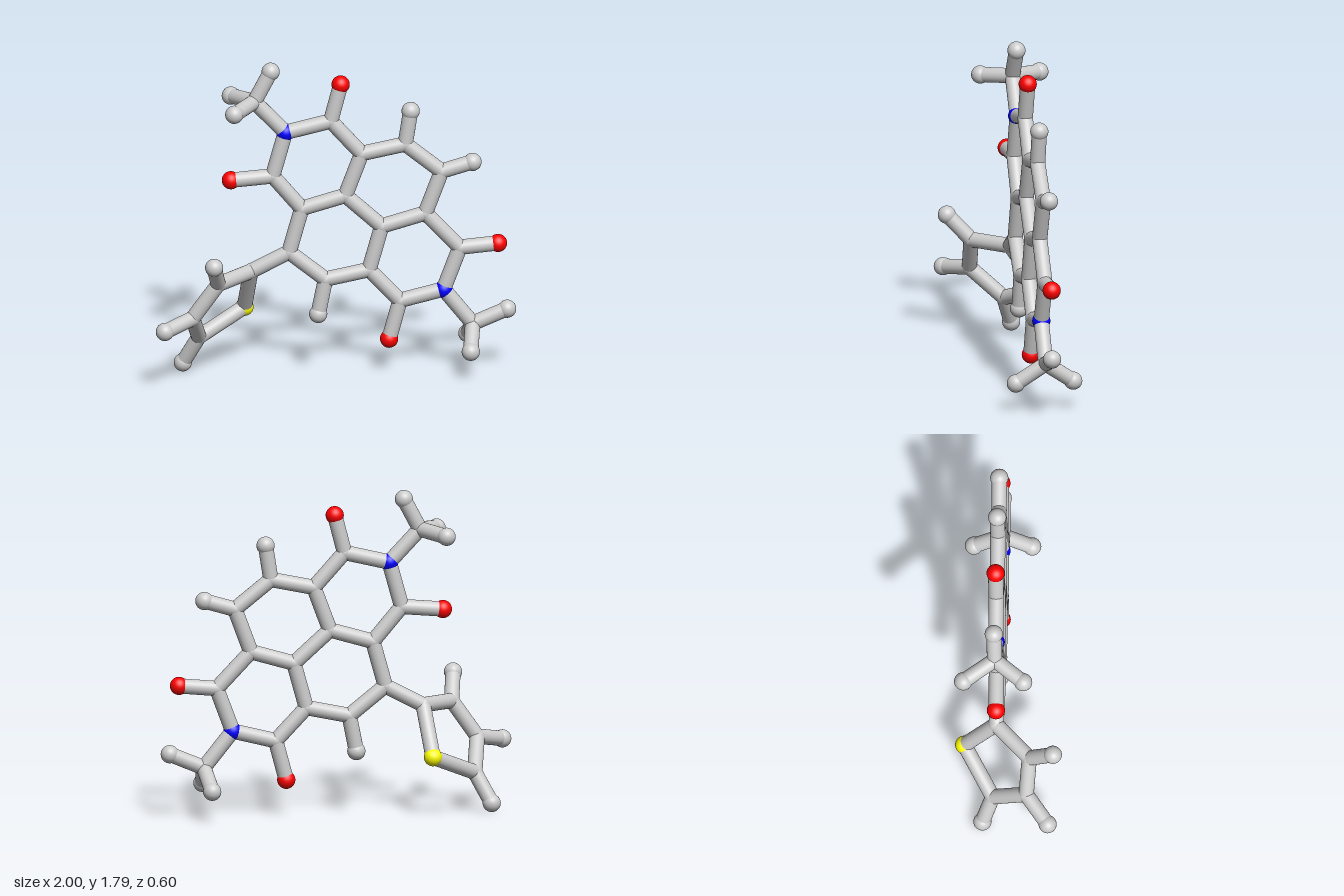
import * as THREE from 'three';

const BALL = 0.05, ROD = 0.042;

// depth of the gently tilted flat core
const core = (x, y) => [x, y, -0.047 - 0.02 * y];

// atoms: kind is c (carbon), h (hydrogen), n, o or s
const atoms = {
  // fused ring core
  c1: core(0.15, 1.27), c2: core(0.39, 1.32), c3: core(0.59, 1.16), c4: core(0.50, 0.92),
  c5: core(0.26, 0.85), c6: core(0.06, 1.03), c7: core(-0.18, 0.96), c8: core(-0.25, 0.71),
  c9: core(-0.05, 0.55), c10: core(0.19, 0.60),
  h2: core(0.42, 1.51), h3: core(0.76, 1.21), h9: core(-0.09, 0.35),
  // upper imide ring and methyl
  c11: core(-0.02, 1.46), o11: core(0.035, 1.67), c12: core(-0.34, 1.15), o12: core(-0.57, 1.13),
  n1: core(-0.27, 1.40), c13: core(-0.44, 1.58),
  h13a: [-0.35, 1.75, -0.085], h13b: [-0.56, 1.56, 0.08], h13c: [-0.56, 1.56, -0.25],
  // lower imide ring and methyl
  c14: core(0.69, 0.72), o14: core(0.90, 0.74), c15: core(0.36, 0.42), o15: core(0.30, 0.20),
  n2: core(0.60, 0.48), c16: core(0.76, 0.28),
  h16a: [0.95, 0.36, -0.055], h16b: [0.74, 0.17, 0.11], h16c: [0.74, 0.17, -0.21],
  // twisted five-sided side ring
  c17: [-0.46, 0.60, -0.07], c18: [-0.65, 0.59, 0.115], c19: [-0.79, 0.39, 0.10],
  c20: [-0.745, 0.22, -0.085], s1: [-0.485, 0.335, -0.245],
  h18: [-0.68, 0.73, 0.245], h19: [-0.95, 0.355, 0.22], h20: [-0.83, 0.055, -0.14],
};

// each chain is a run of atoms joined by rods
const chains = {
  coreRod: ['c1 c2 c3 c4 c5 c6 c1', 'c6 c7 c8 c9 c10 c5', 'c2 h2', 'c3 h3', 'c9 h9'],
  upperImideRod: ['c1 c11 n1 c12 c7', 'c11 o11', 'c12 o12'],
  lowerImideRod: ['c4 c14 n2 c15 c10', 'c14 o14', 'c15 o15'],
  upperMethylRod: ['n1 c13 h13a', 'h13b c13 h13c'],
  lowerMethylRod: ['n2 c16 h16a', 'h16b c16 h16c'],
  sideRingRod: ['c8 c17 c18 c19 c20 s1 c17', 'c18 h18', 'c19 h19', 'c20 h20'],
};

export function createModel() {
  const model = new THREE.Group();
  model.name = 'molecule';

  const grey = new THREE.MeshStandardMaterial({ color: 0xcccccc });
  const kinds = {
    c: ['carbonJoint', grey, ROD * 1.03],
    h: ['hydrogenBall', grey, BALL],
    n: ['nitrogenBall', new THREE.MeshStandardMaterial({ color: 0x0000ff }), BALL],
    o: ['oxygenBall', new THREE.MeshStandardMaterial({ color: 0xff0000 }), BALL],
    s: ['sulfurBall', new THREE.MeshStandardMaterial({ color: 0xffff00 }), BALL],
  };
  const sphere = new THREE.SphereGeometry(1, 32, 20);
  const cylinder = new THREE.CylinderGeometry(ROD, ROD, 1, 24, 1, true);
  const up = new THREE.Vector3(0, 1, 0);

  // balls and joints
  for (const [id, p] of Object.entries(atoms)) {
    const [name, material, radius] = kinds[id[0]];
    const ball = new THREE.Mesh(sphere, material);
    ball.name = name;
    ball.position.set(...p);
    ball.scale.setScalar(radius);
    model.add(ball);
  }

  // rods between neighbouring atoms
  for (const [name, runs] of Object.entries(chains)) {
    const group = new THREE.Group();
    group.name = name + 's';
    for (const run of runs) {
      const ids = run.split(' ');
      for (let i = 1; i < ids.length; i++) {
        const a = new THREE.Vector3(...atoms[ids[i - 1]]);
        const b = new THREE.Vector3(...atoms[ids[i]]);
        const rod = new THREE.Mesh(cylinder, grey);
        rod.name = name;
        rod.position.lerpVectors(a, b, 0.5);
        rod.scale.y = a.distanceTo(b);
        rod.quaternion.setFromUnitVectors(up, b.sub(a).normalize());
        group.add(rod);
      }
    }
    model.add(group);
  }
  return model;
}
